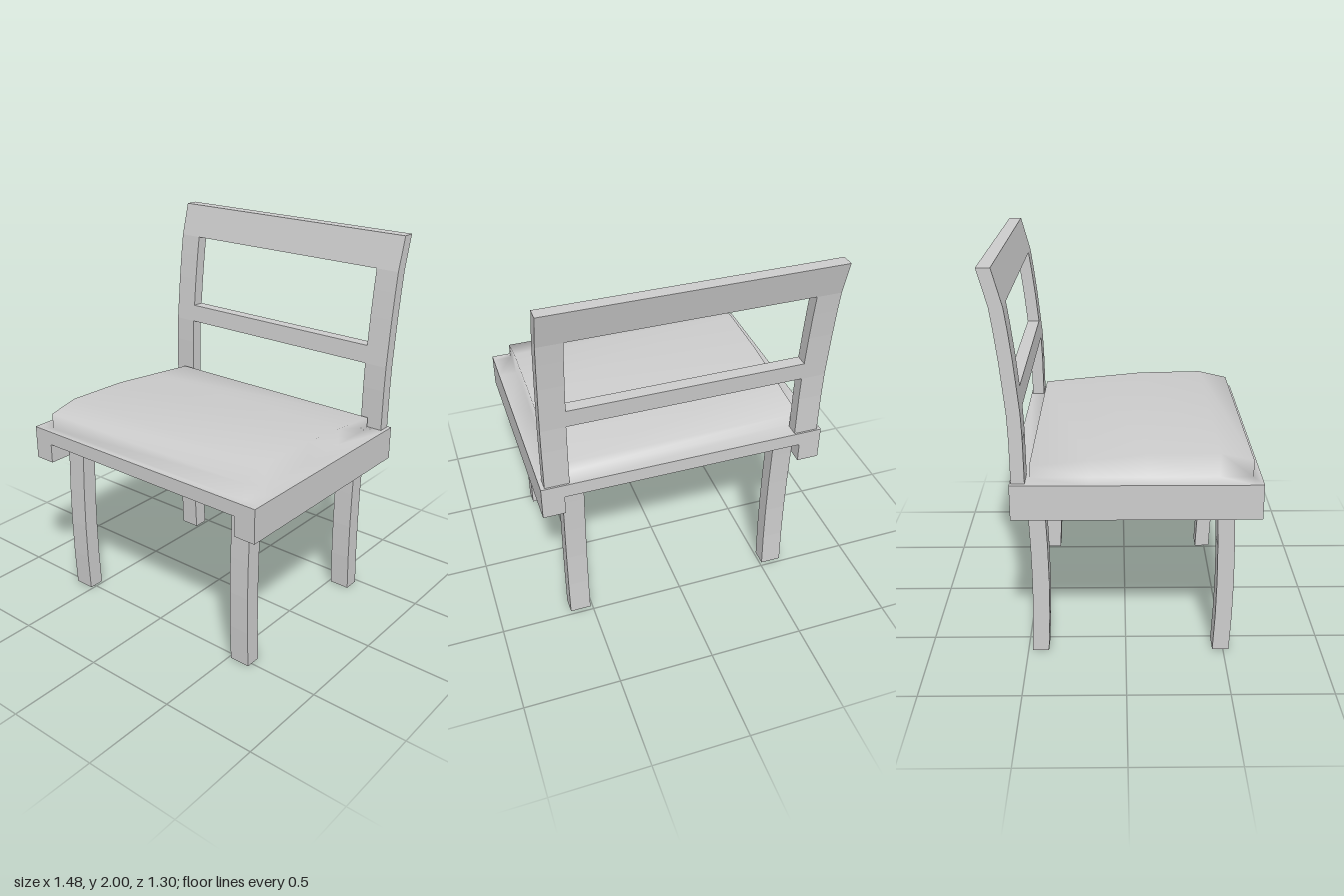
import * as THREE from 'three';
import { mergeVertices } from 'three/addons/utils/BufferGeometryUtils.js';

const material = new THREE.MeshStandardMaterial({ color: 0xcccccc });

function add(group, geometry, name) {
  const mesh = new THREE.Mesh(geometry, material);
  mesh.name = name;
  group.add(mesh);
  return mesh;
}

// Extrudes a side profile of [z, y] points across x, centred on x = 0
function sideExtrude(points, width) {
  const shape = new THREE.Shape(points.map(([z, y]) => new THREE.Vector2(z, y)));
  const geometry = new THREE.ExtrudeGeometry(shape, { depth: width, bevelEnabled: false });
  return geometry.translate(0, 0, -width / 2).rotateY(-Math.PI / 2);
}

// Closed bar profile following a [frontZ, y] curve with constant depth
function barProfile(curve, depth) {
  return [...curve, ...curve.map(([z, y]) => [z - depth, y]).reverse()];
}

// Front line of the curved backrest
const BACK = [[-0.477, 0.978], [-0.479, 1.2], [-0.484, 1.33], [-0.493, 1.425],
  [-0.508, 1.58], [-0.525, 1.72], [-0.54, 1.825], [-0.587, 2]];

function backSlice(y0, y1) {
  return barProfile(BACK.filter(([, y]) => y >= y0 && y <= y1), 0.065);
}

// Seat pad and the ledge around it, as one softly shaded surface
function cushionGeometry() {
  const base = 0.98;
  const rows = [[0.65, base], [0.61, base], [0.61, 1.065], [0.45, 1.102], [0.1, 1.095],
    [-0.18, 1.068], [-0.46, 1.04], [-0.46, base], [-0.55, base]];
  const columns = [[-0.74, 0], [-0.645, 0], [-0.645, 1], [0.645, 1], [0.645, 0], [0.74, 0]];
  const positions = [], index = [], n = columns.length;
  rows.forEach(([z, y], r) => columns.forEach(([x, raised], c) => {
    positions.push(x, raised ? y : base, z);
    if (r && c) {
      const a = (r - 1) * n + c - 1, b = a + 1, d = a + n, e = d + 1;
      index.push(a, b, e, a, e, d);
    }
  }));
  let geometry = new THREE.BufferGeometry();
  geometry.setAttribute('position', new THREE.Float32BufferAttribute(positions, 3));
  geometry.setIndex(index);
  geometry = mergeVertices(geometry);
  geometry.computeVertexNormals();
  return geometry;
}

export function createModel() {
  const model = new THREE.Group();
  model.name = 'chair';

  // Seat frame: a board with a deeper rail along each side
  const section = new THREE.Shape([[-0.74, 0.8], [-0.625, 0.8], [-0.625, 0.905], [0.625, 0.905],
    [0.625, 0.8], [0.74, 0.8], [0.74, 0.979], [-0.74, 0.979]].map((p) => new THREE.Vector2(...p)));
  const frame = new THREE.ExtrudeGeometry(section, { depth: 1.2, bevelEnabled: false });
  add(model, frame.translate(0, 0, -0.55), 'seatFrame');
  add(model, cushionGeometry(), 'cushion');

  // Four gently bowed legs
  const legCurve = [[0.525, 0.905], [0.53, 0.8], [0.538, 0.6], [0.541, 0.4], [0.538, 0.2], [0.529, 0]];
  const leg = sideExtrude(barProfile(legCurve, 0.084), 0.11);
  for (const side of [-1, 1]) {
    add(model, leg, 'frontLeg').position.x = side * 0.567;
    add(model, leg, 'backLeg').position.set(side * 0.567, 0, -0.924);
  }

  // Curved backrest: two posts, a top rail and a middle rail
  const post = sideExtrude(backSlice(0.9, 2), 0.125);
  for (const side of [-1, 1]) add(model, post, 'backPost').position.x = side * 0.6575;
  add(model, sideExtrude(backSlice(1.825, 2), 1.19), 'topRail');
  add(model, sideExtrude(backSlice(1.33, 1.425), 1.19), 'middleRail');

  return model;
}
